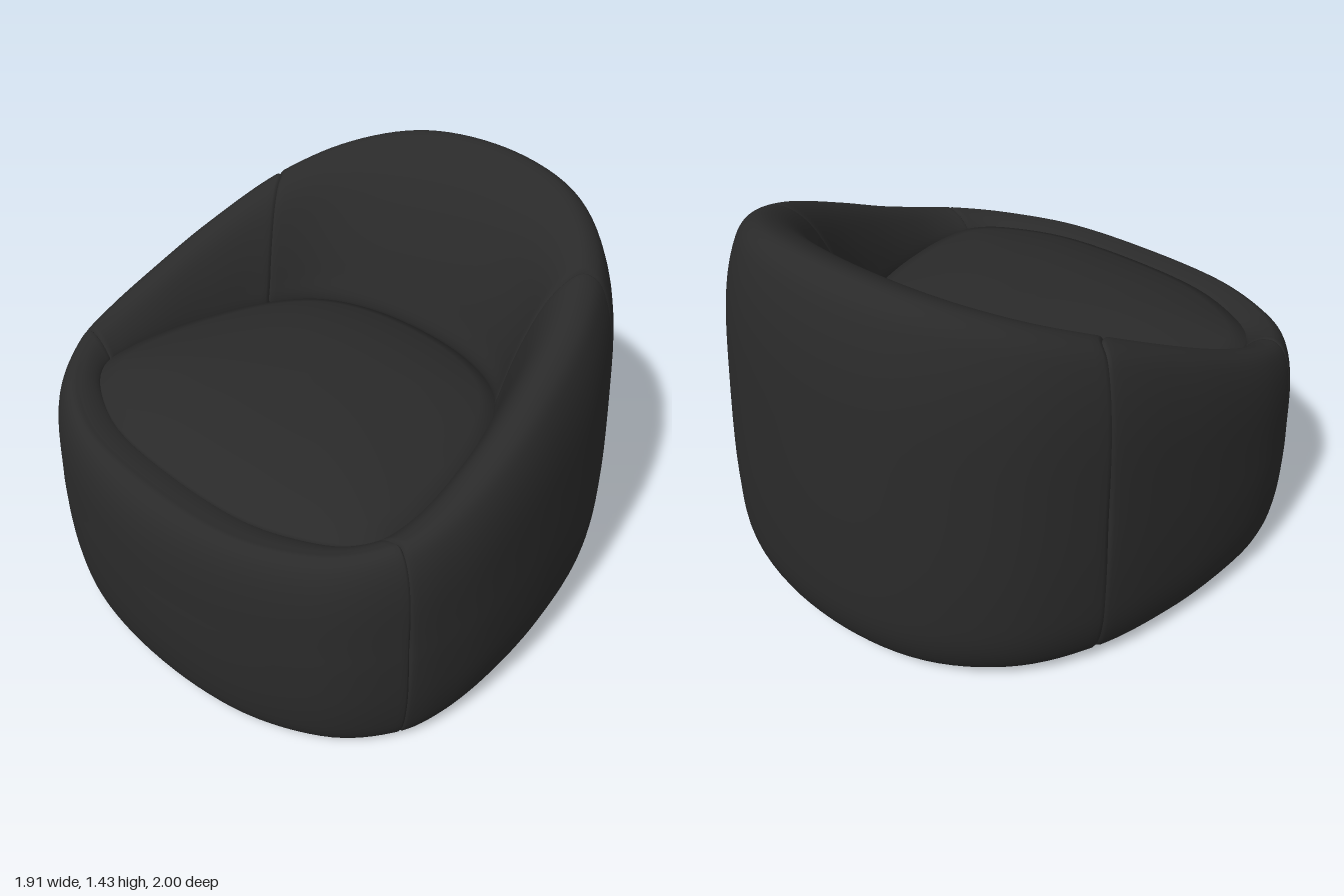
import * as THREE from 'three';

// Half plan from back to front: outer x,z | crest x,z,height | inner x,z
const ROWS = [
  [0, -1, 0, -0.82, 1.43, 0, -0.43],
  [0.39, -0.933, 0.33, -0.765, 1.407, 0.25, -0.402],
  [0.68, -0.73, 0.57, -0.595, 1.335, 0.45, -0.31],
  [0.85, -0.43, 0.72, -0.35, 1.23, 0.58, -0.14],
  [0.928, -0.1, 0.805, -0.05, 1.09, 0.66, 0.08],
  [0.955, 0.2, 0.835, 0.2, 0.975, 0.7, 0.28],
  [0.94, 0.42, 0.84, 0.42, 0.89, 0.71, 0.44],
  [0.88, 0.61, 0.795, 0.58, 0.845, 0.685, 0.575],
  [0.713, 0.805, 0.645, 0.745, 0.81, 0.57, 0.68],
  [0.4, 0.947, 0.37, 0.87, 0.795, 0.33, 0.775],
  [0, 1, 0, 0.9, 0.79, 0, 0.8],
];
const SEAT_Y = 0.77;
const UNDERSIDE_Y = 0.53;

// Closed plan curve: the half rows plus their mirror image
function planCurve(pick) {
  const half = ROWS.map(pick);
  const mirrored = half.slice(1, -1).reverse().map((p) => new THREE.Vector3(-p.x, p.y, p.z));
  return new THREE.CatmullRomCurve3([...half, ...mirrored], true, 'catmullrom', 0.5);
}
const outer = planCurve((r) => new THREE.Vector3(r[0], 0, r[1]));
const crest = planCurve((r) => new THREE.Vector3(r[2], r[4], r[3]));
const inner = planCurve((r) => new THREE.Vector3(r[5], SEAT_Y, r[6]));

// Surface through a list of cross-sections
function loft(sections, closeSection, closeLoop) {
  const n = sections[0].length, m = sections.length, index = [];
  for (let i = 0; i < (closeLoop ? m : m - 1); i++) {
    for (let j = 0; j < (closeSection ? n : n - 1); j++) {
      const i2 = (i + 1) % m, j2 = (j + 1) % n;
      const a = i * n + j, b = i * n + j2, c = i2 * n + j, d = i2 * n + j2;
      index.push(a, b, c, b, d, c);
    }
  }
  const g = new THREE.BufferGeometry().setFromPoints(sections.flat());
  g.setIndex(index);
  g.computeVertexNormals();
  return g;
}

// Point on the line from outer wall through crest, at a given height
function wallPoint(t, k, y) {
  const p = outer.getPoint(t), c = crest.getPoint(t);
  return new THREE.Vector3(p.x + (c.x - p.x) * k, y, p.z + (c.z - p.z) * k);
}

// Point a fixed distance in from the outer wall
function insetPoint(t, distance, y) {
  const p = outer.getPoint(t), c = crest.getPoint(t);
  return wallPoint(t, distance / Math.hypot(c.x - p.x, c.z - p.z), y);
}

// Padded wall section: outside, over the crest, inside, underside
function wallSection(t, shrink) {
  const c = crest.getPoint(t), inn = inner.getPoint(t), H = c.y;
  const back = 0.5 - 0.5 * outer.getPoint(t).z;
  const lift = 0.015 * back;
  // The outside leans in more towards the back
  const pts = [[0.85, lift], [0.42, 0.035 + lift], [0.09, 0.17], [0, 0.38], [0.03 + 0.06 * back, 0.58 * H],
    [0.14 + 0.1 * back, 0.8 * H], [0.38 + 0.08 * back, 0.92 * H], [0.69, 0.98 * H], [1, H]]
    .map(([k, y]) => wallPoint(t, k, y));
  for (const [m, s] of [[0.22, 0.045], [0.46, 0.18], [0.72, 0.46], [0.92, 0.78], [1, 1]]) {
    pts.push(new THREE.Vector3(c.x + (inn.x - c.x) * m, H + (SEAT_Y - H) * s, c.z + (inn.z - c.z) * m));
  }
  for (const [d, y] of [[0.3, UNDERSIDE_Y], [0.25, 0.22], [0.17, 0.04 + lift]]) pts.push(insetPoint(t, d, y));
  const ring = new THREE.CatmullRomCurve3(pts, true, 'centripetal');
  const mid = wallPoint(t, 0.9, H * 0.5);
  const out = [];
  for (let j = 0; j < 85; j++) {
    const p = ring.getPoint(j / 85);
    out.push(p.addScaledVector(mid.clone().sub(p).normalize(), shrink));
  }
  return out;
}

// One upholstered panel, pinched slightly at both seams
function panel(t0, t1) {
  const groove = [[0, 0.012], [0.001, 0.005], [0.0025, 0]];
  const stops = groove.map(([d, s]) => [t0 + d, s]);
  const steps = Math.ceil((t1 - t0) * 140);
  for (let i = 1; i < steps; i++) stops.push([t0 + ((t1 - t0) * i) / steps, 0]);
  for (const [d, s] of groove.slice().reverse()) stops.push([t1 - d, s]);
  return loft(stops.map(([t, s]) => wallSection((t + 1) % 1, s)), true, false);
}

// Domed seat, from the underside centre around the edge to the top centre
function seatSection(t) {
  const inn = inner.getPoint(t), low = insetPoint(t, 0.29, 0);
  const at = (p, s, y) => new THREE.Vector3(p.x * s, y, 0.18 + (p.z - 0.18) * s);
  const out = [0, 0.5, 0.97].map((s) => at(low, s, UNDERSIDE_Y));
  out.push(at(low, 1, UNDERSIDE_Y + 0.03), at(inn, 1.01, 0.74));
  for (let i = 0; i <= 12; i++) {
    const s = 1 - i / 12;
    out.push(at(inn, s, 0.785 + 0.105 * (1 - Math.pow(s, 2.7))));
  }
  return out;
}

export function createModel() {
  const group = new THREE.Group();
  const upholstery = new THREE.MeshStandardMaterial({ color: 0x2a2a2a });
  upholstery.name = 'charcoal upholstery';
  const add = (name, geometry) => {
    const mesh = new THREE.Mesh(geometry, upholstery);
    mesh.name = name;
    group.add(mesh);
  };

  // Seam positions around the plan, starting at the middle of the back
  const seams = { backLeft: 0.122, frontLeft: 0.345, frontRight: 0.665, backRight: 0.852 };
  add('backrest', panel(seams.backRight - 1, seams.backLeft));
  add('leftArm', panel(seams.backLeft, seams.frontLeft));
  add('frontPanel', panel(seams.frontLeft, seams.frontRight));
  add('rightArm', panel(seams.frontRight, seams.backRight));

  // Seat cushion
  const sections = [];
  for (let i = 0; i < 96; i++) sections.push(seatSection(i / 96));
  add('seatCushion', loft(sections, false, true));
  return group;
}
